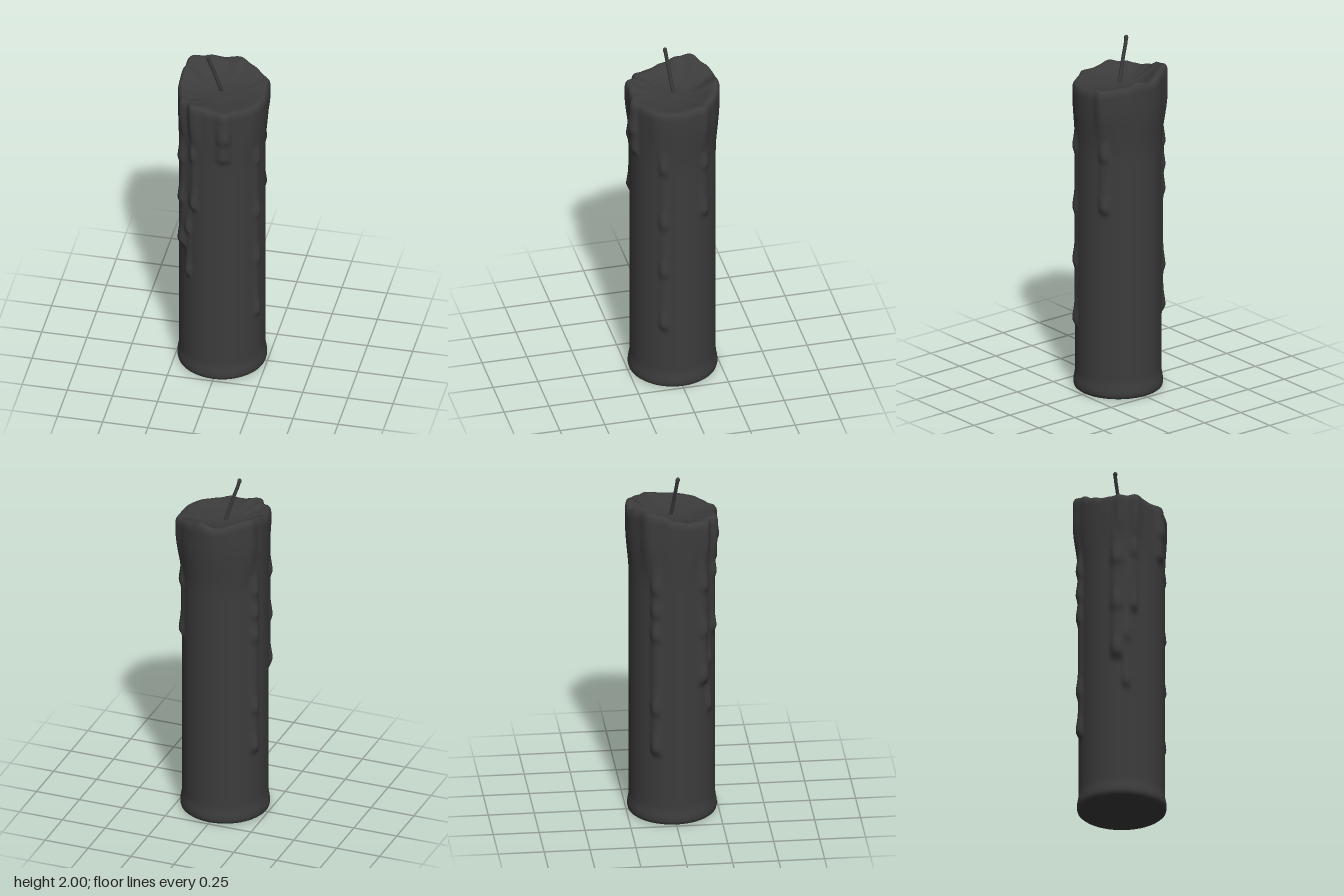
import * as THREE from 'three';

const SEG = 120, SIDE = 110, BASE_R = 0.234, POOL_Y = 1.75;
const { smoothstep, lerp } = THREE.MathUtils;

// Smooth lookup in a closed table of [degrees, value] pairs
function around(table, deg) {
  for (let i = 0; i < table.length; i++) {
    const [a0, v0] = table[i];
    const next = table[(i + 1) % table.length];
    const a1 = i + 1 < table.length ? next[0] : 360;
    if (deg >= a0 && deg <= a1) return lerp(v0, next[1], smoothstep(deg, a0, a1));
  }
  return table[0][1];
}

// Angles run from +x towards +z
const RIM_RADIUS = [[0, .25], [20, .25], [33, .25], [51, .238], [65, .237], [76, .258], [90, .237], [104, .24],
  [119, .268], [128, .246], [138, .265], [149, .246], [165, .24], [180, .24], [200, .245], [216, .268], [233, .25],
  [249, .254], [270, .254], [293, .254], [318, .256], [331, .272], [342, .254]];
const RIM_HEIGHT = [[0, 1.77], [30, 1.765], [76, 1.765], [92, 1.77], [115, 1.79], [138, 1.785], [160, 1.785],
  [180, 1.805], [200, 1.84], [218, 1.855], [240, 1.835], [262, 1.812], [283, 1.83], [300, 1.805], [330, 1.785]];

// Wax runs: angle, lowest point, thickness, half width in degrees, heights of the beads
const DRIPS = [
  { at: 76, end: 1.42, thick: .02, width: 9, beads: [1.6] },
  { at: 25, end: .35, thick: .007, width: 6, beads: [1.4, 1.05, .74, .4] },
  { at: 119, end: 1.08, thick: .012, width: 5, beads: [1.45, 1.12] },
  { at: 129, end: .62, thick: .008, width: 5, beads: [.95, .67] },
  { at: 141, end: .79, thick: .018, width: 8, beads: [1.4, 1.13, .86] },
  { at: 207, end: .39, thick: .012, width: 7, beads: [1.4, 1.26, 1.12, .68, .45] },
  { at: 327, end: 1.05, thick: .008, width: 7, beads: [1.4, 1.1] },
];

function sideRadius(deg, y) {
  const foot = .009 * (1 - smoothstep(y, .03, .1));
  let r = BASE_R + foot;
  r = Math.max(r, lerp(BASE_R, around(RIM_RADIUS, deg), smoothstep(y, 1.38, 1.7)));
  for (const d of DRIPS) {
    const off = Math.abs(((deg - d.at + 540) % 360) - 180) / d.width;
    if (off > 2.5) continue;
    let t = d.thick * smoothstep(y, d.end, d.end + .05);
    for (const b of d.beads) t += .013 * Math.exp(-(((y - b) / (y < b ? .03 : .07)) ** 2));
    r = Math.max(r, BASE_R + t * Math.exp(-(off ** 4)));
  }
  return r;
}

// Rows of the skin: underside, side wall, rounded rim, melted hollow
function buildWax() {
  const rows = [];
  for (const [f, y] of [[0, 0], [.6, 0], [.9, 0], [.95, .001], [.985, .008]])
    rows.push(deg => [sideRadius(deg, .02) * f, y]);
  for (let i = 0; i <= SIDE; i++)
    rows.push(deg => {
      const y = lerp(.022, around(RIM_HEIGHT, deg) - .035, i / SIDE);
      return [sideRadius(deg, y), y];
    });
  for (const [f, drop, sink] of [[.985, .016, 0], [.955, .004, 0], [.91, 0, 0], [.84, 0, .1], [.74, 0, .32],
    [.62, 0, .6], [.48, 0, .82], [.32, 0, .95], [.16, 0, 1], [0, 0, 1]])
    rows.push(deg => {
      const h = around(RIM_HEIGHT, deg);
      return [sideRadius(deg, h - .035) * f, lerp(h - drop, POOL_Y, sink)];
    });

  const pos = [], index = [];
  rows.forEach((row, i) => {
    for (let j = 0; j < SEG; j++) {
      const deg = j * 360 / SEG, a = THREE.MathUtils.degToRad(deg);
      const [r, y] = row(deg);
      pos.push(r * Math.cos(a), y, r * Math.sin(a));
      if (i === 0) continue;
      const k = (j + 1) % SEG, lo = (i - 1) * SEG, hi = i * SEG;
      if (i < rows.length - 1) index.push(lo + j, hi + j, hi + k);
      if (i > 1) index.push(lo + j, hi + k, lo + k);
    }
  });
  const geo = new THREE.BufferGeometry();
  geo.setAttribute('position', new THREE.Float32BufferAttribute(pos, 3));
  geo.setIndex(index);
  geo.computeVertexNormals();
  return geo;
}

export function createModel() {
  const group = new THREE.Group();
  group.name = 'candle';
  const material = new THREE.MeshStandardMaterial({ color: 0x3c3c3c });

  const wax = new THREE.Mesh(buildWax(), material);
  wax.name = 'waxBody';
  group.add(wax);

  // Bent wick with a slightly thicker burnt tip
  const path = new THREE.CatmullRomCurve3([[0, 1.73, -.012], [-.016, 1.79, 0], [-.045, 1.89, .012], [-.068, 1.96, .02],
    [-.074, 1.988, .024]].map(p => new THREE.Vector3(...p)));
  const wick = new THREE.Mesh(new THREE.TubeGeometry(path, 12, .01, 6), material);
  wick.name = 'wick';
  const tip = new THREE.Mesh(new THREE.SphereGeometry(.012, 8, 6), material);
  tip.name = 'wickTip';
  tip.position.set(-.074, 1.985, .024);
  tip.scale.y = 1.25;
  group.add(wick, tip);
  return group;
}
